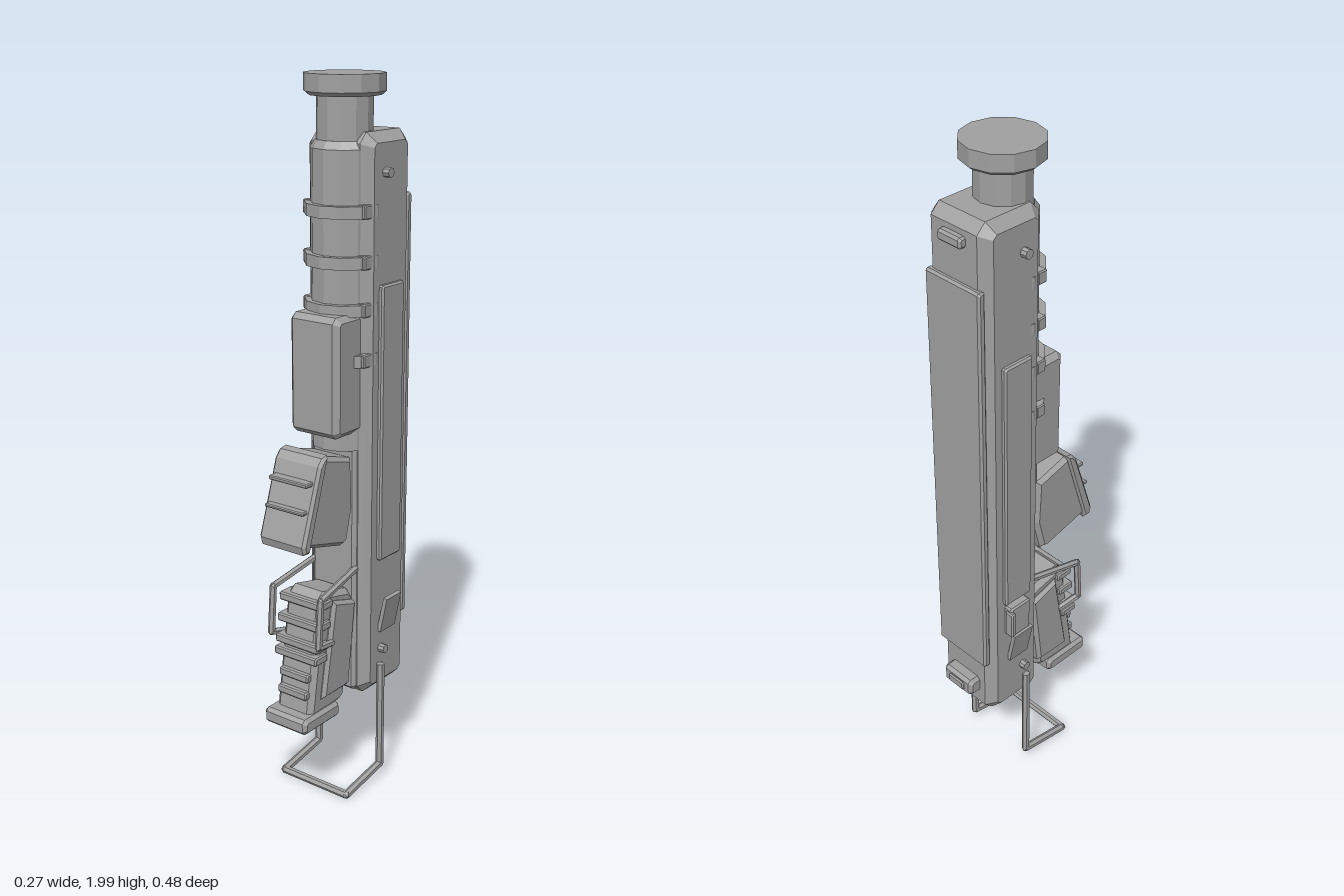
import * as THREE from 'three';

const grey = new THREE.MeshStandardMaterial({ color: 0xa0a0a0, flatShading: true });
grey.name = 'grey metal';

export function createModel() {
  const model = new THREE.Group();
  const root = new THREE.Group();
  root.name = 'device';
  root.position.x = 0.003;
  model.add(root);

  const add = (name, geo, x = 0, y = 0, z = 0) => {
    const m = new THREE.Mesh(geo, grey);
    m.name = name;
    m.position.set(x, y, z);
    root.add(m);
    return m;
  };

  // Side profile of [z, y] points, extruded across x with bevelled rims
  const profile = (name, pts, width, bevel = 0.01) => {
    const shape = new THREE.Shape(pts.map(([z, y]) => new THREE.Vector2(-z, y)));
    const geo = new THREE.ExtrudeGeometry(shape, {
      depth: width - 2 * bevel, bevelEnabled: bevel > 0, bevelSegments: 1,
      bevelSize: bevel, bevelThickness: bevel, bevelOffset: -bevel,
    });
    geo.translate(0, 0, bevel - width / 2);
    geo.rotateY(Math.PI / 2);
    return add(name, geo);
  };

  // Box between two z and two y limits with all edges chamfered
  const block = (name, z0, z1, y0, y1, width, c = 0.01, x = 0) => {
    const m = profile(name, [
      [z0 + c, y0], [z1 - c, y0], [z1, y0 + c], [z1, y1 - c],
      [z1 - c, y1], [z0 + c, y1], [z0, y1 - c], [z0, y0 + c],
    ], width, c);
    m.position.x = x;
    return m;
  };

  // Wire bent along straight segments, with rounded joints
  const wire = (name, pts, r) => {
    const path = new THREE.CurvePath();
    const v = pts.map((p) => new THREE.Vector3(...p));
    for (let i = 0; i + 1 < v.length; i++) {
      const d = new THREE.Vector3().subVectors(v[i + 1], v[i]);
      const rod = add(name, new THREE.CylinderGeometry(r, r, d.length(), 6),
        ...v[i].clone().addScaledVector(d, 0.5).toArray());
      rod.quaternion.setFromUnitVectors(new THREE.Vector3(0, 1, 0), d.normalize());
      if (i > 0) add(name + 'Joint', new THREE.IcosahedronGeometry(r * 1.05, 0), ...v[i].toArray());
    }
    return path;
  };

  // Main housing and its panels
  block('body', -0.197, 0.002, 0.285, 1.857, 0.21, 0.027);
  block('backPanel', -0.21, -0.187, 0.48, 1.69, 0.19, 0.006);
  block('lowerFrontRail', -0.05, 0.012, 0.3, 1.4, 0.15, 0.01);

  // Tube with end cap and clamps
  const barrel = (name, r, y0, y1, rTop = r) => add(name,
    new THREE.CylinderGeometry(rTop, r, y1 - y0, 12), 0, (y0 + y1) / 2, -0.038);
  barrel('neck', 0.074, 1.8, 1.96);
  barrel('endCap', 0.107, 1.955, 2);
  barrel('endCapChamfer', 0.095, 1.945, 1.955, 0.107);
  barrel('barrel', 0.09, 1.02, 1.815);
  barrel('barrelShoulder', 0.09, 1.815, 1.835, 0.076);
  for (const y of [1.66, 1.53, 1.405, 1.27]) {
    barrel('clamp', 0.107, y - 0.016, y + 0.016);
    for (const s of [-1, 1]) block('clampEnd', -0.02, 0.01, y - 0.018, y + 0.018, 0.03, 0.003, s * 0.088);
  }

  // Front guard block
  block('guardBlock', -0.02, 0.1, 1.07, 1.397, 0.162, 0.015);

  // Upper slanted grip with face plate and bars
  profile('upperGrip', [
    [0.14, 1.037], [0.02, 1.003], [0.013, 0.865], [0.038, 0.765], [0.06, 0.76], [0.215, 0.8],
  ], 0.146, 0.012);
  profile('upperGripPlate', [
    [0.128, 1.04], [0.15, 1.035], [0.167, 1.015], [0.236, 0.81], [0.23, 0.787], [0.206, 0.785],
  ], 0.156, 0.008);
  block('upperGripBar', 0.16, 0.208, 0.965, 0.977, 0.13, 0.003);
  block('upperGripBar', 0.19, 0.226, 0.893, 0.903, 0.13, 0.003);

  // Lower slanted grip with foot and ribs
  profile('lowerGrip', [
    [0.12, 0.64], [0.02, 0.617], [-0.005, 0.595], [0.035, 0.3], [0.055, 0.283], [0.195, 0.283], [0.145, 0.62],
  ], 0.125, 0.015);
  profile('lowerGripCore', [[0.1, 0.61], [0, 0.58], [0.03, 0.33], [0.15, 0.33]], 0.15, 0.01);
  block('lowerGripFoot', 0.073, 0.232, 0.25, 0.296, 0.148, 0.01);
  [0.61, 0.55, 0.49, 0.455, 0.4, 0.35].forEach((y, i) => {
    const z = 0.145 + (0.62 - y) * 0.15;
    block('lowerGripRib', z - 0.04, z + 0.014, y - 0.012, y + 0.012, i < 4 ? 0.148 : 0.1, 0.004);
  });

  for (const s of [-1, 1]) {
    // Side panels, screws and tilted latches
    block('sidePanel', -0.147, -0.05, 0.69, 1.465, 0.024, 0.005, s * 0.106);
    for (const y of [1.755, 0.415]) {
      add('screw', new THREE.CylinderGeometry(0.013, 0.013, 0.04, 8), s * 0.104, y, -0.072).rotation.z = Math.PI / 2;
    }
    const latch = add('latch', new THREE.BoxGeometry(0.012, 0.108, 0.07), s * 0.118, 0.523, -0.095);
    latch.rotation.z = -s * 0.2;
    // Finger guard wires
    wire('fingerGuard', [
      [s * 0.07, 0.675, 0], [s * 0.083, 0.64, 0.173], [s * 0.083, 0.505, 0.183], [s * 0.072, 0.49, 0.11],
    ], 0.01);
  }
  block('sideSwitch', -0.14, -0.065, 0.575, 0.68, 0.03, 0.005, -0.115);
  block('sideSwitchTab', -0.146, -0.13, 0.585, 0.67, 0.03, 0.004, -0.125);

  // Bent wire stand
  wire('stand', [
    [-0.111, 0.37, -0.062], [-0.111, 0.048, -0.062], [-0.111, 0.02, 0.098],
    [0.114, 0.02, 0.098], [0.114, 0.048, -0.062], [0.114, 0.37, -0.062],
  ], 0.0115);

  // Small fittings on the back
  block('upperBackHandle', -0.216, -0.185, 1.785, 1.815, 0.08, 0.006);
  block('lowerBackMount', -0.234, -0.185, 0.352, 0.408, 0.114, 0.01);
  block('lowerBackButton', -0.24, -0.22, 0.366, 0.394, 0.06, 0.004);

  return model;
}
